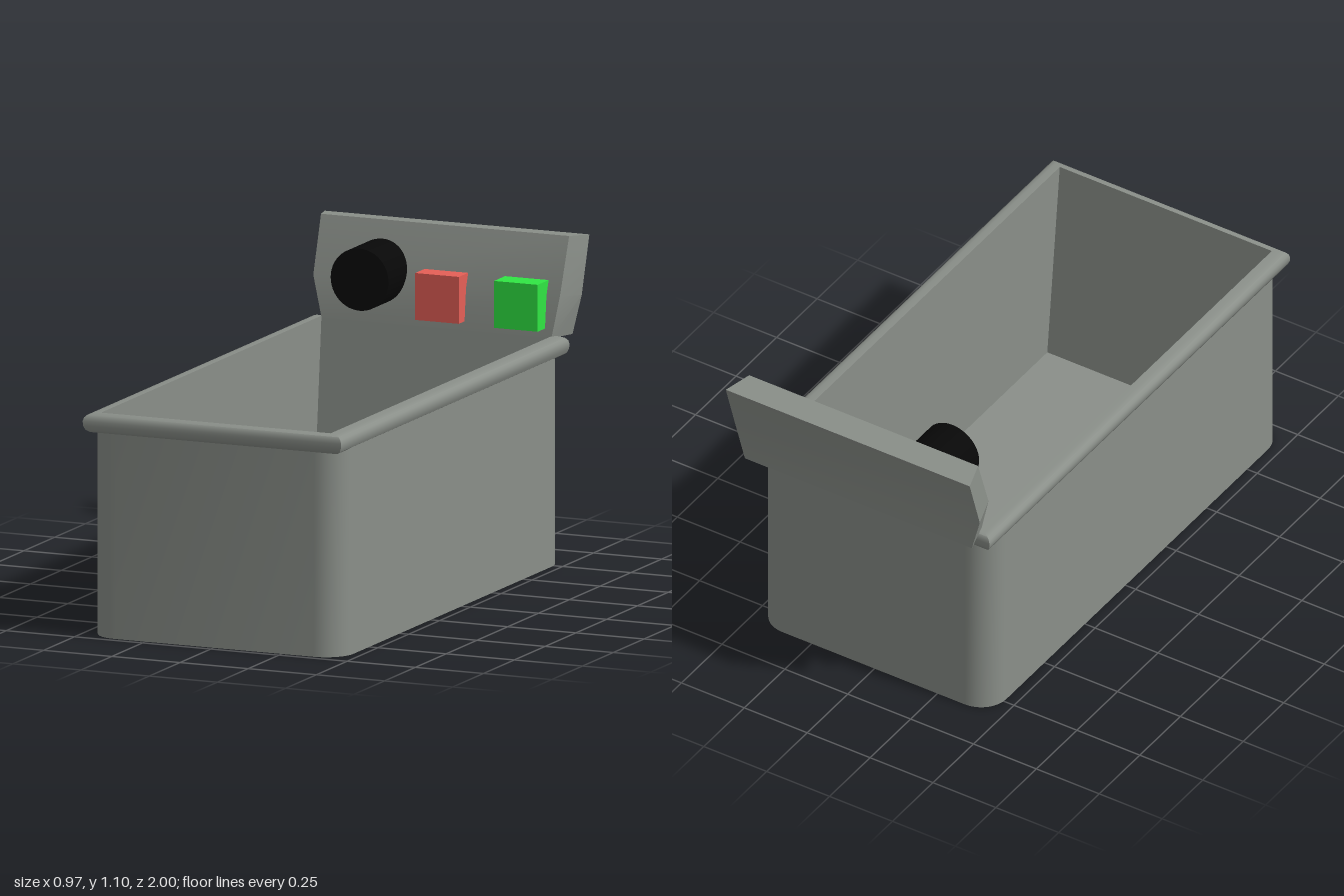
import * as THREE from 'three';
import { toCreasedNormals } from 'three/addons/utils/BufferGeometryUtils.js';

const GREY = 0x8a8f89;

// Skin a list of closed rings; each ring runs from +x towards +z
function loft(rings, crease = 0.6) {
  const n = rings[0].length, index = [];
  for (let k = 0; k < rings.length - 1; k++) {
    for (let i = 0; i < n; i++) {
      const j = (i + 1) % n;
      const a = k * n + i, b = k * n + j, c = a + n, d = b + n;
      index.push(a, c, b, b, c, d);
    }
  }
  const geometry = new THREE.BufferGeometry();
  geometry.setAttribute('position', new THREE.Float32BufferAttribute(rings.flat(2), 3));
  geometry.setIndex(index);
  return toCreasedNormals(geometry, crease);
}

// Horizontal rectangle [x0, x1, z0, z1] at height y, optionally with round corners
function rectRing([x0, x1, z0, z1], y, r = 0, steps = 0) {
  const corners = [[x1 - r, z1 - r], [x0 + r, z1 - r], [x0 + r, z0 + r], [x1 - r, z0 + r]];
  return corners.flatMap(([cx, cz], q) => Array.from({ length: steps + 1 }, (_, i) => {
    const a = (q + (steps ? i / steps : 0)) * Math.PI / 2;
    return [cx + r * Math.cos(a), y, cz + r * Math.sin(a)];
  }));
}

// Ring shrunk to one point, used to close a loft
const pointRing = (ring, y, z = 0) => ring.map(() => [0, y, z]);

export function createModel() {
  const model = new THREE.Group();
  const add = (name, geometry, color = GREY) => {
    const mesh = new THREE.Mesh(geometry, new THREE.MeshStandardMaterial({ color }));
    mesh.name = name;
    model.add(mesh);
    return mesh;
  };

  // Outer shell with rounded upright corners and a flat base
  const outer = [-0.46, 0.468, -0.835, 0.978];
  const base = rectRing(outer, 0, 0.1, 8);
  add('tubShell', loft([pointRing(base, 0), base, rectRing(outer, 0.72, 0.1, 8)]));

  // Square-cornered basin whose end walls slope inwards to the floor
  const mouth = [-0.418, 0.425, -0.824, 0.967];
  const floor = rectRing([-0.418, 0.425, -0.755, 0.89], 0.03);
  add('basin', loft([rectRing(mouth, 0.765), floor, pointRing(floor, 0.03)]));

  // Rim with mitred corners, curving down and outwards from the basin edge
  const lip = [-0.47, 0.478, -0.855, 1];
  const profile = [[0, 0.70], [0.6, 0.70], [0.85, 0.708], [0.97, 0.722], [1, 0.738],
    [0.93, 0.75], [0.75, 0.759], [0.45, 0.764], [0, 0.765]];
  add('rim', loft(profile.map(([t, y]) =>
    rectRing(mouth.map((m, i) => m + (lip[i] - m) * t), y))));

  // Bent control panel: front and back edge of each level as [left, right, y, z]
  const levels = [
    [[-0.415, 0.428, 0.76, -0.818], [-0.445, 0.457, 0.757, -0.925]],
    [[-0.452, 0.452, 0.9, -0.833], [-0.485, 0.485, 0.89, -0.938]],
    [[-0.455, 0.455, 1.095, -0.902], [-0.485, 0.485, 1.085, -1]],
  ].map(([f, b]) => [[f[1], f[2], f[3]], [f[0], f[2], f[3]], [b[0], b[2], b[3]], [b[1], b[2], b[3]]]);
  add('controlPanel', loft([
    pointRing(levels[0], 0.758, -0.87), ...levels, pointRing(levels[2], 1.09, -0.951),
  ], 0.25));

  // Dial and push buttons standing out of the panel
  const dial = add('dial',
    toCreasedNormals(new THREE.CylinderGeometry(0.106, 0.106, 0.19, 48), 0.6), 0x080808);
  dial.rotation.x = Math.PI / 2;
  dial.position.set(-0.22, 0.928, -0.79);

  const buttons = [
    ['redButton', 0.028, -0.775, 0xe65f57],
    ['greenButton', 0.323, -0.762, 0x30e643],
  ];
  for (const [name, x, front, color] of buttons) {
    const depth = front + 0.87;
    add(name, new THREE.BoxGeometry(0.16, 0.16, depth), color)
      .position.set(x, 0.87, front - depth / 2);
  }
  return model;
}
